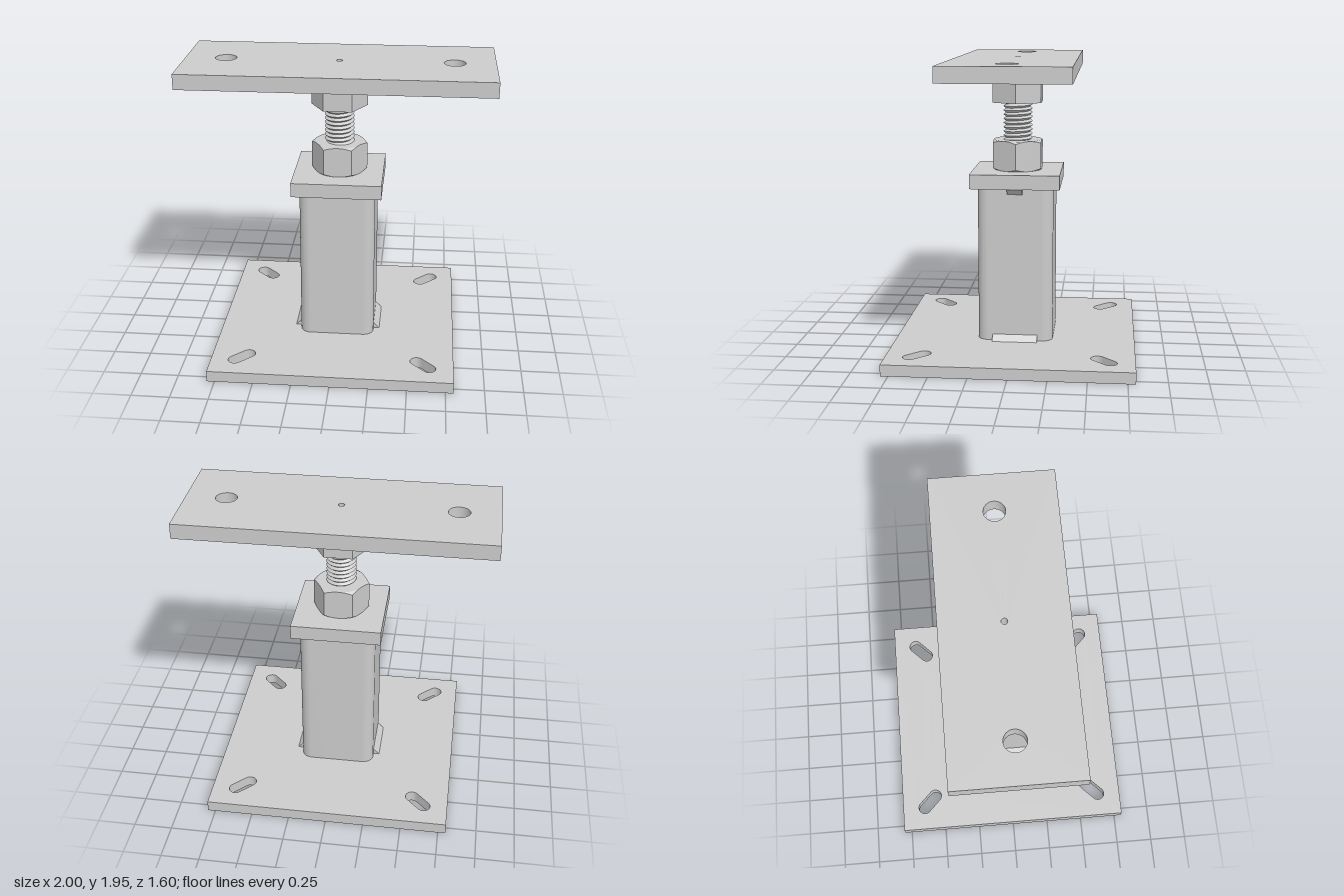
import * as THREE from 'three';
import { toCreasedNormals } from 'three/addons/utils/BufferGeometryUtils.js';

const material = new THREE.MeshStandardMaterial({ color: 0xcccccc });

function add(parent, name, geometry, crease = 0.5) {
  const mesh = new THREE.Mesh(toCreasedNormals(geometry, crease), material);
  mesh.name = name;
  parent.add(mesh);
  return mesh;
}

// Rectangle outline with optional rounded corners
function rect(w, d, r = 0, Type = THREE.Shape) {
  const x = w / 2, y = d / 2, s = new Type();
  if (r === 0) {
    s.moveTo(-x, -y).lineTo(x, -y).lineTo(x, y).lineTo(-x, y).closePath();
    return s;
  }
  s.moveTo(-x + r, -y);
  s.absarc(x - r, -y + r, r, -Math.PI / 2, 0);
  s.absarc(x - r, y - r, r, 0, Math.PI / 2);
  s.absarc(-x + r, y - r, r, Math.PI / 2, Math.PI);
  s.absarc(-x + r, -y + r, r, Math.PI, Math.PI * 1.5);
  s.closePath();
  return s;
}

function circle(x, y, r) {
  const p = new THREE.Path();
  p.absarc(x, y, r, 0, Math.PI * 2);
  return p;
}

// Slot whose length points away from the origin
function radialSlot(x, y, half, r) {
  const a = Math.atan2(y, x), dx = Math.cos(a) * half, dy = Math.sin(a) * half;
  const p = new THREE.Path();
  p.absarc(x + dx, y + dy, r, a - Math.PI / 2, a + Math.PI / 2);
  p.absarc(x - dx, y - dy, r, a + Math.PI / 2, a + Math.PI * 1.5);
  p.closePath();
  return p;
}

// Extrude an outline upward between two heights
function slab(shape, y0, y1) {
  return new THREE.ExtrudeGeometry(shape, { depth: y1 - y0, bevelEnabled: false, curveSegments: 16 })
    .rotateX(-Math.PI / 2).translate(0, y0, 0);
}

// Skin rings of points, listed from bottom to top
function skin(rings) {
  const n = rings[0].length, index = [];
  for (let j = 0; j < rings.length - 1; j++) {
    for (let i = 0; i < n - 1; i++) {
      const a = j * n + i, b = a + n;
      index.push(a, b, a + 1, a + 1, b, b + 1);
    }
  }
  const g = new THREE.BufferGeometry();
  g.setAttribute('position', new THREE.Float32BufferAttribute(rings.flat(2), 3));
  g.setIndex(index);
  return g;
}

// Hexagon nut with corners on x, optionally chamfered by a cone
function nut(y0, y1, chamfer) {
  const flat = 0.16, steps = 72, slope = 0.6;
  const ring = (rule) => Array.from({ length: steps + 1 }, (_, i) => {
    const t = (i / steps) * Math.PI * 2;
    const local = (t % (Math.PI / 3)) - Math.PI / 6;
    const [r, y] = rule(flat / Math.cos(local));
    return [r * Math.cos(t), y, -r * Math.sin(t)];
  });
  const drop = (h) => (chamfer ? (h - flat) * slope : 0);
  const edge = (h) => (chamfer ? flat : h);
  const g = skin([
    ring(() => [0, y0]), ring((h) => [edge(h), y0]), ring((h) => [h, y0 + drop(h)]),
    ring((h) => [h, y1 - drop(h)]), ring((h) => [edge(h), y1]), ring(() => [0, y1]),
  ]);
  // Turn the faces outward
  const ix = g.index.array;
  for (let i = 0; i < ix.length; i += 3) [ix[i + 1], ix[i + 2]] = [ix[i + 2], ix[i + 1]];
  return g;
}

// Rod with a V thread: alternating crest and root rows climb along a helix
function threadedRod(y0, y1) {
  const pitch = 0.028, steps = 36, rings = [];
  const rows = Math.ceil((y1 - y0) / pitch) * 2 + 2;
  for (let k = -2; k <= rows; k++) {
    const r = k % 2 ? 0.098 : 0.08;
    rings.push(Array.from({ length: steps + 1 }, (_, i) => {
      const t = (i / steps) * Math.PI * 2;
      const y = y0 + (k / 2 + i / steps) * pitch;
      return [r * Math.sin(t), THREE.MathUtils.clamp(y, y0, y1), r * Math.cos(t)];
    }));
  }
  const g = skin(rings), ix = g.index.array;
  for (let i = 0; i < ix.length; i += 3) [ix[i + 1], ix[i + 2]] = [ix[i + 2], ix[i + 1]];
  return g;
}

// Triangular fillet weld along z, in the corner at the origin; up = 1 sits on a plate
function fillet(length, size, up, taper = 0) {
  const s = new THREE.Shape();
  s.moveTo(0, 0).lineTo(size, 0).lineTo(0, size * up).closePath();
  const g = new THREE.ExtrudeGeometry(s, { depth: length, bevelEnabled: false }).translate(0, 0, -length / 2);
  const p = g.attributes.position;
  for (let i = 0; i < p.count; i++) {
    p.setZ(i, p.getZ(i) - Math.sign(p.getZ(i)) * taper * Math.abs(p.getY(i)) / size);
  }
  return g;
}

export function createModel() {
  const model = new THREE.Group();
  model.name = 'adjustablePostSupport';

  // Base plate with diagonal slots and a square opening under the tube
  const base = rect(1.6, 1.6);
  for (const x of [-0.6, 0.6]) for (const y of [-0.6, 0.6]) base.holes.push(radialSlot(x, y, 0.057, 0.045));
  base.holes.push(rect(0.4, 0.4, 0, THREE.Path));
  add(model, 'basePlate', slab(base, 0, 0.075));

  // Hollow square post with rounded corners
  const tube = rect(0.5, 0.5, 0.07);
  tube.holes.push(rect(0.4, 0.4, 0.03, THREE.Path));
  add(model, 'squareTube', slab(tube, 0.075, 1.11));
  add(model, 'capPlate', slab(rect(0.59, 0.59), 1.11, 1.205));

  // Welds on the two sides of the tube
  for (const side of [0, Math.PI]) {
    const welds = new THREE.Group();
    welds.name = side ? 'rightTubeWelds' : 'leftTubeWelds';
    add(welds, 'bottomWeld', fillet(0.3, 0.04, 1).translate(0.25, 0.075, 0));
    add(welds, 'topWeld', fillet(0.1, 0.04, -1).translate(0.25, 1.11, 0));
    welds.rotation.y = side;
    model.add(welds);
  }

  // Adjusting screw and nuts
  add(model, 'threadedRod', threadedRod(1.22, 1.84), 0.4);
  add(model, 'lowerNut', nut(1.205, 1.405, true), 0.35);
  add(model, 'upperNut', nut(1.655, 1.85, false), 0.35);

  // Welds from each flat of the upper nut to the top plate
  const nutWelds = new THREE.Group();
  nutWelds.name = 'upperNutWelds';
  for (let i = 0; i < 6; i++) {
    const weld = add(nutWelds, 'nutWeld', fillet(0.19, 0.04, -1, 0.03).translate(0.16, 1.85, 0));
    weld.rotation.y = Math.PI / 6 + (i * Math.PI) / 3;
  }
  model.add(nutWelds);

  // Top plate with two bolt holes and a small centre hole
  const top = rect(2, 0.8);
  top.holes.push(circle(-0.737, 0, 0.07), circle(0.737, 0, 0.07), circle(0, 0, 0.02));
  add(model, 'topPlate', slab(top, 1.85, 1.95));

  return model;
}
